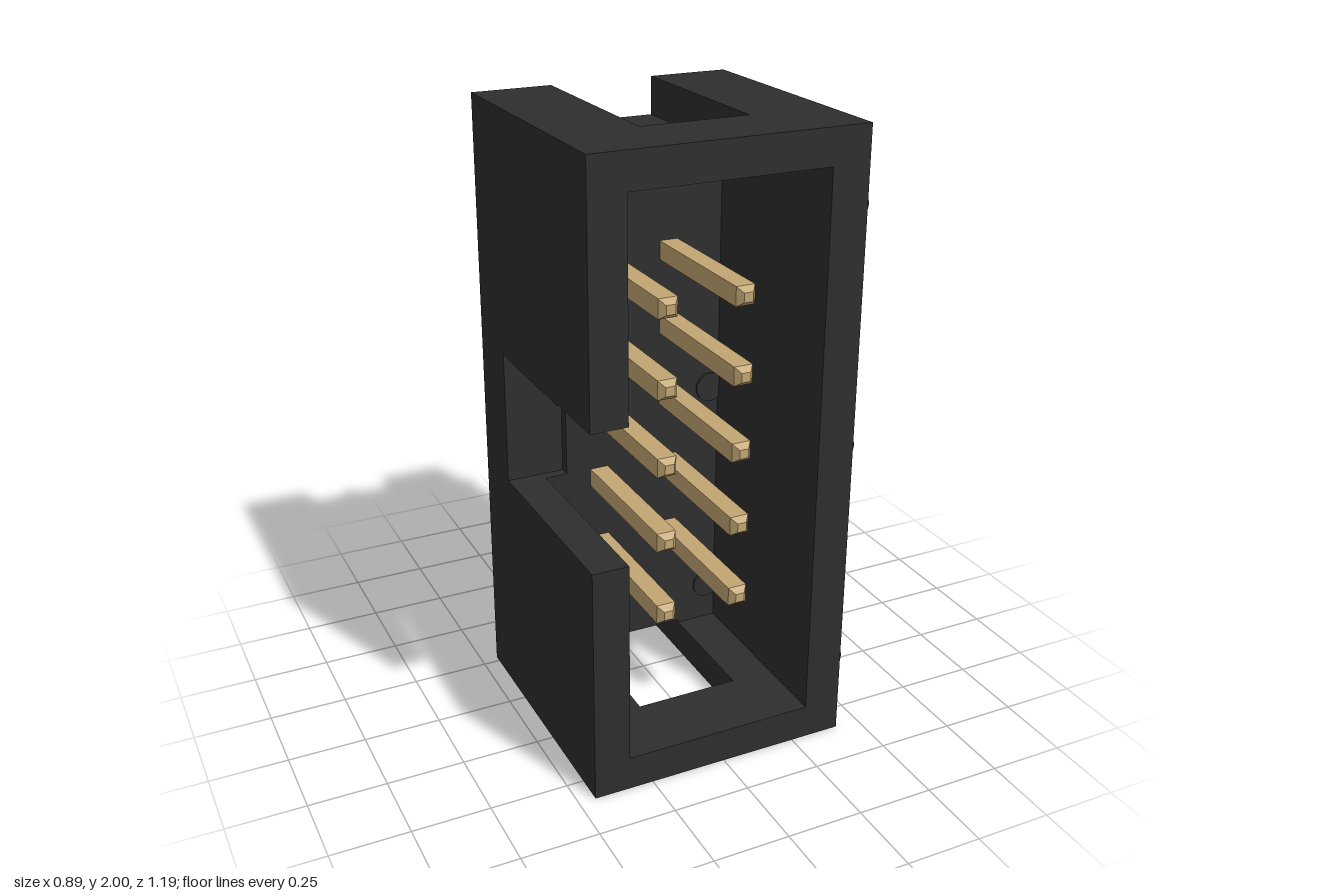
import * as THREE from 'three';

// Housing extents
const L = -0.445, R = 0.418, TOP = 2, BACK = -0.275, FRONT = 0.595;
const CAV = { l: -0.328, r: 0.297, b: 0.112, t: 1.888 };   // inner cavity
const WIN = { l: -0.185, r: 0.158 };                       // end windows and rear notches
const SLOT = { b: 0.783, t: 1.222, r: -0.255 };            // key slot in the right wall
const NOTCH = 0.122, FLOOR = -0.045, SLOT_FLOOR = -0.08, WIN_FRONT = 0.362;

export function createModel() {
  const model = new THREE.Group();
  const black = new THREE.MeshStandardMaterial({ color: 0x2e2e2e });
  black.name = 'black plastic';
  const gold = new THREE.MeshStandardMaterial({ color: 0xc2a672 });
  gold.name = 'gold contact';

  const add = (parent, name, geometry, material, x = 0, y = 0, z = 0) => {
    const mesh = new THREE.Mesh(geometry, material);
    mesh.name = name;
    mesh.position.set(x, y, z);
    parent.add(mesh);
    return mesh;
  };

  // Housing: cross-sections in x, y extruded along z
  const housing = new THREE.Group();
  housing.name = 'housing';
  model.add(housing);
  const slab = (name, points, z0, z1) => {
    const shape = new THREE.Shape(points.map(([x, y]) => new THREE.Vector2(x, y)));
    add(housing, name, new THREE.ExtrudeGeometry(shape, { depth: z1 - z0, bevelEnabled: false }), black, 0, 0, z0);
  };
  const flip = (points) => points.map(([x, y]) => [x, TOP - y]);

  // Front rim, open at the key slot
  slab('frontRim', [
    [L, 0], [R, 0], [R, TOP], [L, TOP], [L, SLOT.t], [CAV.l, SLOT.t], [CAV.l, CAV.t],
    [CAV.r, CAV.t], [CAV.r, CAV.b], [CAV.l, CAV.b], [CAV.l, SLOT.b], [L, SLOT.b],
  ], WIN_FRONT, FRONT);

  // Side walls beside the end windows
  slab('leftWall', [
    [R, 0], [R, TOP], [WIN.r, TOP], [WIN.r, CAV.t], [CAV.r, CAV.t], [CAV.r, CAV.b], [WIN.r, CAV.b], [WIN.r, 0],
  ], FLOOR, WIN_FRONT);
  const corner = [[L, 0], [WIN.l, 0], [WIN.l, CAV.b], [CAV.l, CAV.b], [CAV.l, SLOT.b], [L, SLOT.b]];
  slab('lowerRightWall', corner, FLOOR, WIN_FRONT);
  slab('upperRightWall', flip(corner), FLOOR, WIN_FRONT);

  // Base with notched ends; its front layer is also cut by the key slot
  const lowEnd = [[L, 0], [WIN.l, 0], [WIN.l, NOTCH], [WIN.r, NOTCH], [WIN.r, 0], [R, 0]];
  const base = [...lowEnd, ...flip(lowEnd).reverse()];
  slab('base', base, BACK, SLOT_FLOOR);
  slab('slottedFloor', [...base, [L, SLOT.t], [SLOT.r, SLOT.t], [SLOT.r, SLOT.b], [L, SLOT.b]], SLOT_FLOOR, FLOOR);

  // Round ribs on the left wall, standoffs behind, matching discs on the cavity floor
  const ribLength = 0.56 - BACK;
  const rib = new THREE.CylinderGeometry(0.045, 0.045, ribLength, 32).rotateX(Math.PI / 2);
  const stud = new THREE.CylinderGeometry(0.05, 0.05, 0.024, 32).rotateX(Math.PI / 2);
  const disc = new THREE.CylinderGeometry(0.05, 0.05, 0.008, 32).rotateX(Math.PI / 2);
  for (const y of [0.248, 1, 1.757]) {
    add(model, 'sideRib', rib, black, 0.4, y, BACK + ribLength / 2);
    for (const x of [-0.293, 0.265]) {
      add(model, 'standoff', stud, black, x, y, BACK - 0.012);
      if (y !== 1 || x > 0) add(model, 'floorDisc', disc, black, x, y, FLOOR + 0.004);
    }
  }

  // Square pins with chamfered tips
  const w = 0.031 * Math.SQRT2, tip = 0.015 * Math.SQRT2, z0 = -0.595, z1 = 0.475;
  const profile = [[0, z0], [tip, z0], [w, z0 + 0.02], [w, z1 - 0.02], [tip, z1], [0, z1]];
  const pin = new THREE.LatheGeometry(profile.map(([r, z]) => new THREE.Vector2(r, z)), 4, Math.PI / 4)
    .rotateX(Math.PI / 2).toNonIndexed();
  pin.computeVertexNormals();
  for (let row = 0; row < 5; row++) {
    for (const x of [-0.14, 0.11]) add(model, 'pin', pin, gold, x, 0.503 + row * 0.249, 0);
  }
  return model;
}
